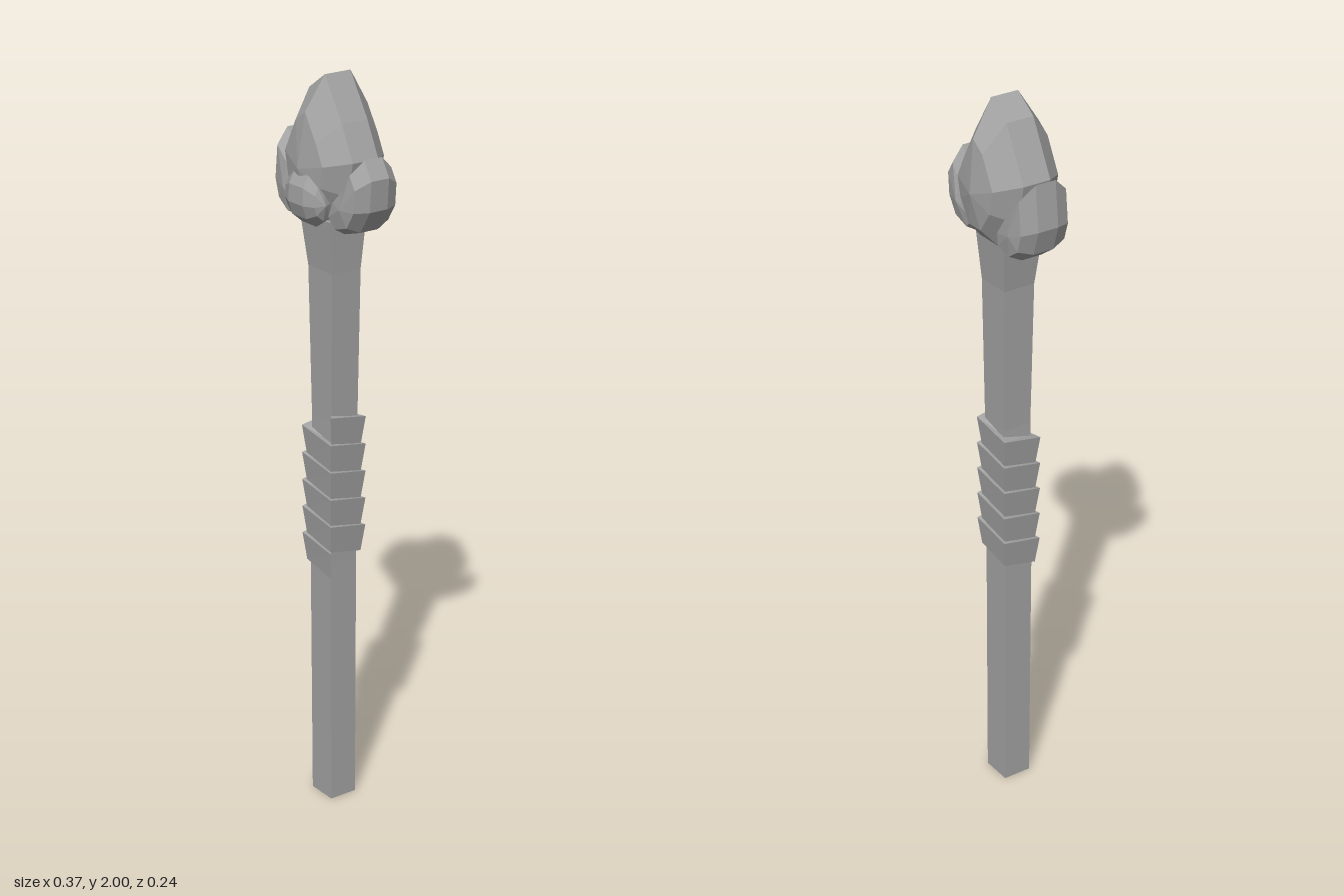
import * as THREE from 'three';

const stone = new THREE.MeshStandardMaterial({ color: 0xa3a3a3, flatShading: true, side: THREE.DoubleSide });
stone.name = 'grey';

function meshFrom(name, positions) {
  const geometry = new THREE.BufferGeometry();
  geometry.setAttribute('position', new THREE.Float32BufferAttribute(positions, 3));
  geometry.computeVertexNormals();
  const mesh = new THREE.Mesh(geometry, stone);
  mesh.name = name;
  return mesh;
}

const quad = (out, a, b, c, d) => out.push(...a, ...b, ...c, ...a, ...c, ...d);

// Skins a stack of rings and closes both ends with fans to the given points
function skin(name, rings, startPoint, endPoint) {
  const out = [];
  const n = rings[0].length;
  const last = rings[rings.length - 1];
  for (let i = 0; i < n; i++) {
    const j = (i + 1) % n;
    for (let k = 0; k < rings.length - 1; k++) {
      quad(out, rings[k][i], rings[k][j], rings[k + 1][j], rings[k + 1][i]);
    }
    out.push(...startPoint, ...rings[0][j], ...rings[0][i]);
    out.push(...endPoint, ...last[i], ...last[j]);
  }
  return meshFrom(name, out);
}

// Faceted pebble: one upright outline, shrunk about its centre in layers along z
function pebble(name, outline, [cx, cy], layers, zBack, zFront) {
  const rings = layers.map(([z, s]) =>
    outline.map(([x, y]) => [cx + (x - cx) * s, cy + (y - cy) * s, z]));
  return skin(name, rings, [cx, cy, zBack], [cx, cy, zFront]);
}

const corners = [[1, 1], [1, -1], [-1, -1], [-1, 1]];

// Square shaft, slightly bowed, flaring under the bud
function makeShaft() {
  const sections = [ // y, centre x, half width, half depth
    [0, -0.007, 0.043, 0.040],
    [0.7, -0.009, 0.045, 0.041],
    [1.1, -0.003, 0.043, 0.041],
    [1.5, -0.004, 0.050, 0.045],
    [1.64, -0.009, 0.062, 0.058],
  ];
  const rings = sections.map(([y, cx, hx, hz]) => corners.map(([sx, sz]) => [cx + sx * hx, y, sz * hz]));
  return skin('shaft', rings, [-0.007, 0, 0], [-0.009, 1.64, 0]);
}

// Strip wound five times round the shaft, each turn flaring towards its top
function makeGrip() {
  const out = [];
  const turns = 5, pitch = 0.076, top = 1.12;
  const point = (k, drop, hx, hz) => {
    const [sx, sz] = corners[k % 4];
    return [-0.007 + sx * hx, top - pitch * k / 4 - drop, sz * hz];
  };
  for (let k = 0; k < turns * 4; k++) {
    const edge = (drop, hx, hz) => [point(k, drop, hx, hz), point(k + 1, drop, hx, hz)];
    const [t0, t1] = edge(0, 0.063, 0.056);
    const [b0, b1] = edge(pitch, 0.053, 0.048);
    const [u0, u1] = edge(0, 0.038, 0.036);
    const [v0, v1] = edge(pitch, 0.038, 0.036);
    quad(out, b0, b1, t1, t0);
    quad(out, t0, t1, u1, u0);
    quad(out, v0, v1, b1, b0);
    // End flaps of the strip
    if (k === 0) quad(out, u0, v0, b0, t0);
    if (k === turns * 4 - 1) quad(out, t1, b1, v1, u1);
  }
  return meshFrom('gripWrap', out);
}

export function createModel() {
  const group = new THREE.Group();
  group.name = 'staff';
  group.add(makeShaft(), makeGrip());

  // Pointed central bud
  group.add(pebble('bud',
    [[0, 2], [-0.065, 1.955], [-0.138, 1.815], [-0.115, 1.71], [-0.05, 1.615],
      [0.035, 1.615], [0.095, 1.71], [0.115, 1.8], [0.07, 1.89]],
    [-0.015, 1.77],
    [[-0.103, 0.6], [-0.046, 1], [0.032, 1], [0.088, 0.62]], -0.12, 0.105));

  // Curled side petals
  const sideLayers = [[-0.064, 0.73], [-0.027, 1], [0.027, 1], [0.064, 0.73]];
  group.add(pebble('leftPetal',
    [[0.155, 1.817], [0.115, 1.755], [0.06, 1.7], [0.035, 1.645], [0.075, 1.61],
      [0.14, 1.63], [0.178, 1.69], [0.184, 1.77]],
    [0.115, 1.69], sideLayers, -0.075, 0.075));
  group.add(pebble('rightPetal',
    [[-0.172, 1.83], [-0.185, 1.71], [-0.165, 1.645], [-0.115, 1.61], [-0.05, 1.625],
      [-0.045, 1.67], [-0.09, 1.735], [-0.125, 1.785]],
    [-0.125, 1.69], sideLayers.map(([z, s]) => [z * 1.08 - 0.006, s]), -0.084, 0.071));

  // Small petal curling out at the front
  const frontPetal = pebble('frontPetal',
    [[0.098, 1.76], [0.07, 1.735], [0.04, 1.69], [0.04, 1.635], [0.075, 1.625],
      [0.105, 1.65], [0.117, 1.685], [0.114, 1.73]],
    [0.08, 1.69],
    [[-0.062, 0.65], [-0.03, 1], [0.03, 1], [0.062, 0.65]], -0.078, 0.078);
  frontPetal.rotation.y = -Math.PI / 2;
  frontPetal.position.x = -0.008;
  group.add(frontPetal);

  return group;
}
